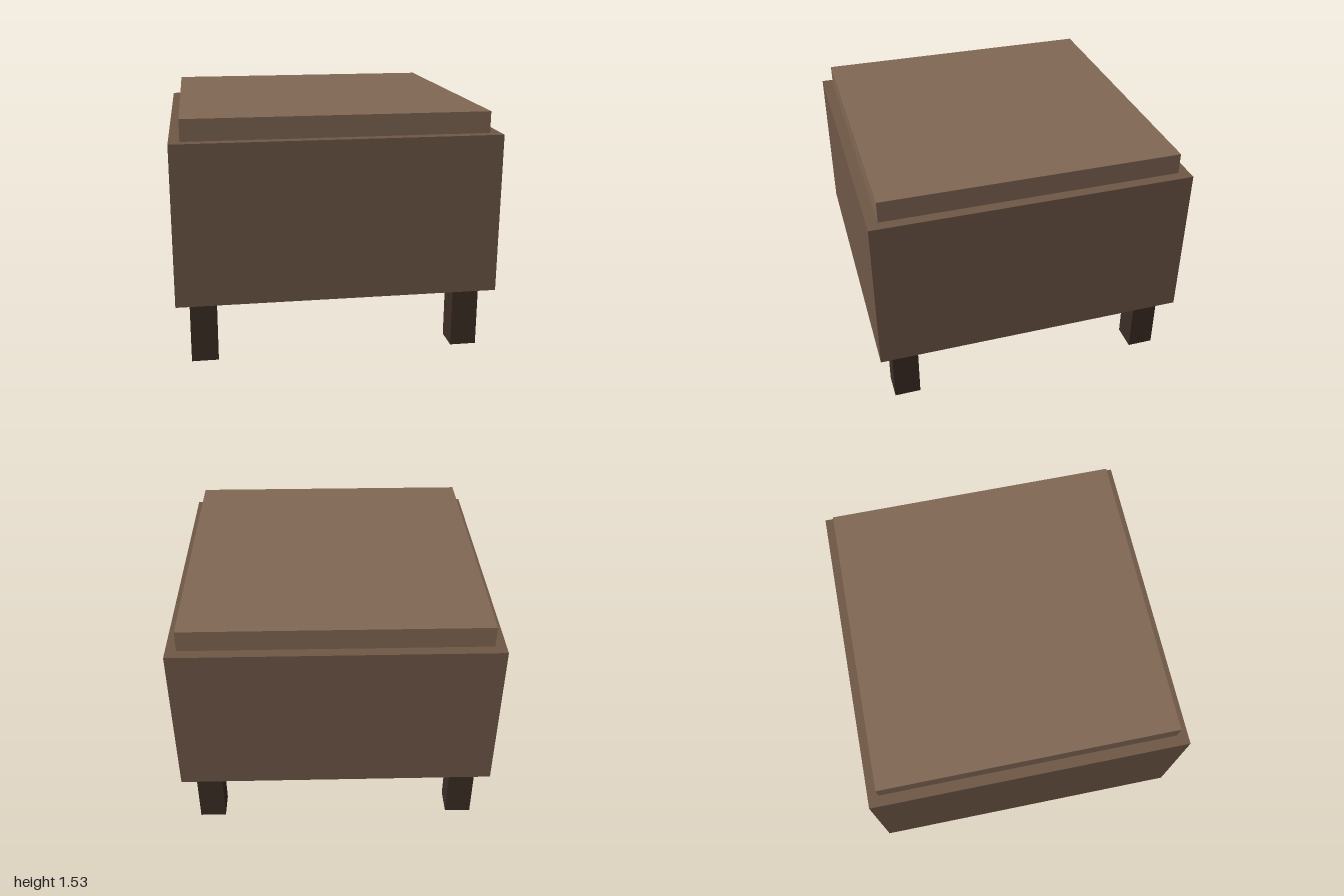
import * as THREE from 'three';

export function createModel() {
  const group = new THREE.Group();
  const bodyMaterial = new THREE.MeshStandardMaterial({ color: 0x705847 });
  const cushionMaterial = new THREE.MeshStandardMaterial({ color: 0x826855 });
  const legMaterial = new THREE.MeshStandardMaterial({ color: 0x3c2e26 });

  // Adds a square block standing on height y
  function addBlock(name, width, height, x, y, z, material) {
    const mesh = new THREE.Mesh(new THREE.BoxGeometry(width, height, width), material);
    mesh.name = name;
    mesh.position.set(x, y + height / 2, z);
    group.add(mesh);
  }

  // Upholstered body and the inset cushion on top
  addBlock('body', 2, 1, 0, 0.4, 0, bodyMaterial);
  addBlock('cushion', 1.866, 0.133, 0, 1.4, 0, cushionMaterial);

  // Four square legs, set in from the corners
  for (const [side, x] of [['Left', 0.833], ['Right', -0.833]]) {
    for (const [end, z] of [['front', 0.833], ['back', -0.833]]) {
      addBlock(`${end}${side}Leg`, 0.167, 0.4, x, 0, z, legMaterial);
    }
  }

  return group;
}
